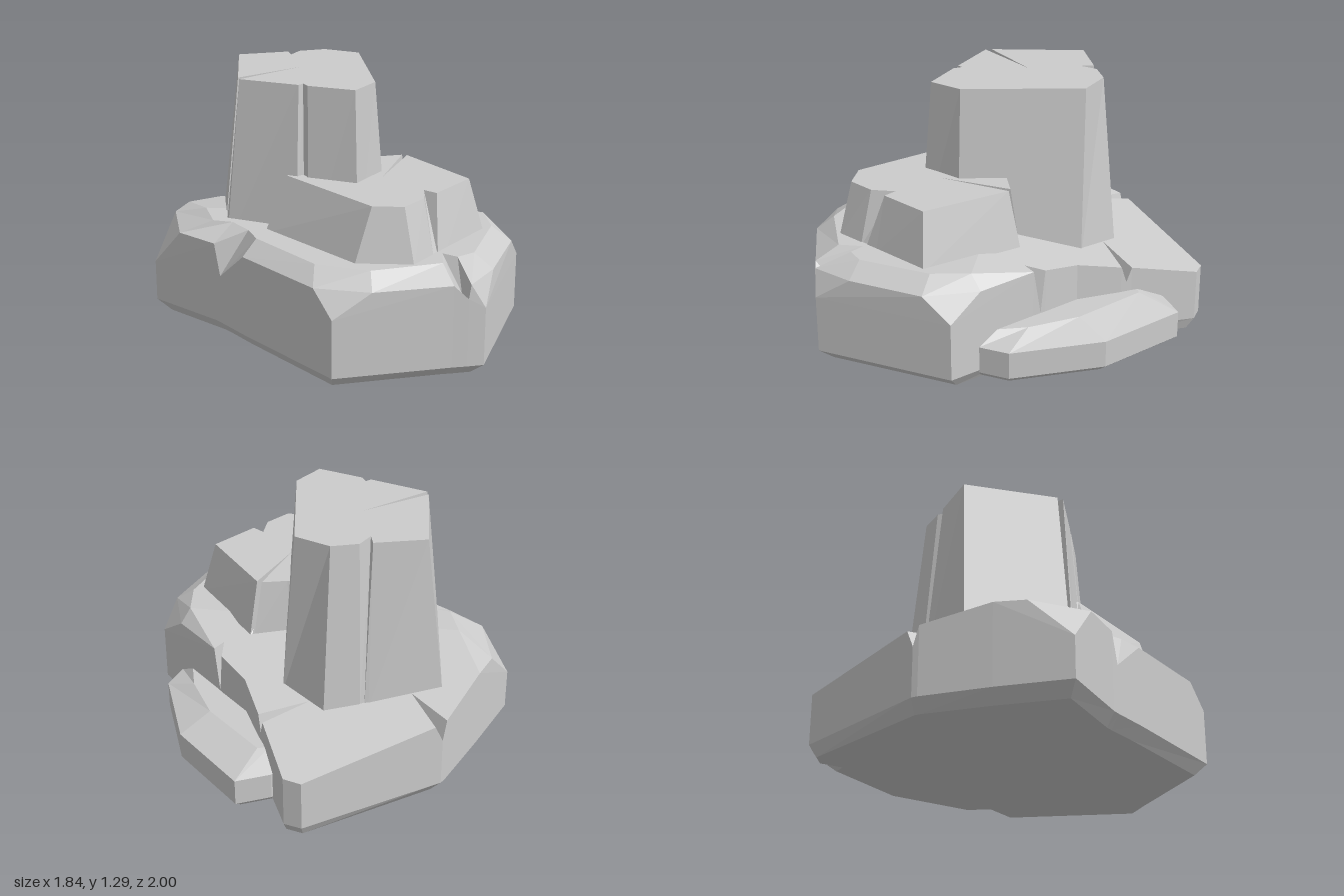
import * as THREE from 'three';

const stone = new THREE.MeshStandardMaterial({ color: 0xcccccc, flatShading: true });

// Skins rings of [x, y, z] points (bottom to top, clockwise from above) and caps both ends.
// topSplits lists index runs of the top ring that are capped as separate planes.
function rock(name, rings, topSplits) {
  const pos = [];
  const tri = (a, b, c) => {
    const va = new THREE.Vector3(...a), vb = new THREE.Vector3(...b), vc = new THREE.Vector3(...c);
    if (vb.sub(va).cross(vc.sub(va)).length() > 1e-7) pos.push(...a, ...b, ...c);
  };
  const n = rings[0].length;
  for (let r = 0; r < rings.length - 1; r++) {
    for (let i = 0; i < n; i++) {
      const j = (i + 1) % n, lo = rings[r], hi = rings[r + 1];
      tri(lo[j], lo[i], hi[i]);
      tri(lo[j], hi[i], hi[j]);
    }
  }
  const cap = (pts, up) => {
    const flat = pts.map(p => new THREE.Vector2(p[0], -p[2]));
    for (const [a, b, c] of THREE.ShapeUtils.triangulateShape(flat, [])) {
      const ccw = THREE.ShapeUtils.area([flat[a], flat[b], flat[c]]) > 0;
      if (ccw === up) tri(pts[a], pts[b], pts[c]);
      else tri(pts[a], pts[c], pts[b]);
    }
  };
  const top = rings[rings.length - 1];
  cap(rings[0], false);
  if (topSplits) topSplits.forEach(run => cap(run.map(i => top[i]), true));
  else cap(top, true);

  const geo = new THREE.BufferGeometry();
  geo.setAttribute('position', new THREE.Float32BufferAttribute(pos, 3));
  geo.computeVertexNormals();
  const mesh = new THREE.Mesh(geo, stone);
  mesh.name = name;
  return mesh;
}

// Tapered block from columns of [bottom x, bottom z, top x, top z]
const block = (name, y0, y1, cols) => rock(name, [
  cols.map(c => [c[0], y0, c[1]]),
  cols.map(c => [c[2], y1, c[3]]),
]);

// Base top is level in front and slopes down to the back
const slope = z => 0.58 - 0.245 * Math.max(0, 0.06 - z);

function baseSlab() {
  // plain edge, crack (low at the wall, running inward on top), chamfered column
  const edge = (x, z) => [[x, slope(z), z], [x, slope(z), z], [x, z]];
  const crack = (x, y, z, tx, tz) => [[x, y, z], [x, y, z], [tx, tz]];
  const cham = (w, mx, mz, tx, tz) => [w || [mx, 0.51, mz], [mx, 0.51, mz], [tx, tz]];
  const right = [0.92, 0.39, 0.13], frontRight = [0.73, 0.39, 0.82];
  const front = [0.03, 0.39, 1], left = [-0.92, 0.31, 0.13];
  const cols = [
    edge(-0.03, -1),
    edge(0.06, -0.98),
    edge(0.22, -0.66),
    crack(0.235, 0.33, -0.635, 0.02, -0.5),
    edge(0.25, -0.61),
    edge(0.36, -0.4),
    edge(0.51, -0.26),
    crack(0.53, 0.28, -0.24, 0.52, -0.16),
    edge(0.56, -0.21),
    cham(right, 0.79, 0.01, 0.75, 0.06), // 9: right end of the fold
    cham(right, 0.88, 0.27, 0.78, 0.25),
    cham(frontRight, 0.77, 0.64, 0.68, 0.61),
    cham(frontRight, 0.66, 0.835, 0.6, 0.67),
    [[0.65, 0.44, 0.84], [0.62, 0.44, 0.77], [0.53, 0.63]],
    cham(null, 0.58, 0.855, 0.53, 0.75),
    cham(front, 0.21, 0.95, 0.2, 0.86),
    cham(front, -0.06, 0.91, -0.06, 0.79),
    cham(null, -0.42, 0.55, -0.36, 0.48),
    crack(-0.55, 0.35, 0.41, -0.41, 0.37),
    cham(null, -0.58, 0.38, -0.5, 0.26),
    cham(left, -0.77, 0.24, -0.6, 0.24),
    cham(left, -0.84, -0.07, -0.66, 0.06), // 21: left end of the fold
    edge(-0.79, -0.22),
    edge(-0.66, -0.54),
    crack(-0.645, 0.33, -0.565, -0.47, -0.39),
    edge(-0.61, -0.59),
  ];
  const run = (a, b) => Array.from({ length: b - a + 1 }, (_, k) => (a + k) % cols.length);
  const walls = cols.map(c => c[0]);
  return rock('baseSlab', [
    walls.map(([x, , z]) => [x * 0.92, 0.035 + 0.036 * Math.min(0, z), z * (z > 0 ? 0.93 : 0.96)]),
    walls.map(([x, , z]) => [x, 0.1 + 0.04 * Math.min(0, z), z]),
    walls,
    cols.map(c => c[1]),
    cols.map(c => [c[2][0], slope(c[2][1]), c[2][1]]),
  ], [run(9, 21), run(21, cols.length + 9)]);
}

function sideLedge() {
  // outer wall x, z and inset top x, z; the last two columns sit inside the base
  const cols = [
    [0.1, -0.74, 0.12, -0.66], [0.15, -0.82, 0.18, -0.68], [0.31, -0.9, 0.24, -0.7],
    [0.66, -0.57, 0.54, -0.43], [0.84, -0.13, 0.68, -0.2], [0.8, 0.02, 0.73, -0.03],
    [0.6, 0.1, 0.58, 0.05], [0.25, -0.3, 0.25, -0.3],
  ];
  return rock('sideLedge', [
    cols.map(c => [c[0] * 0.95, 0.05, c[1] * 0.95]),
    cols.map(c => [c[0], 0.085, c[1]]),
    cols.map(c => [c[0], 0.22, c[1]]),
    cols.map(c => [c[2], 0.28, c[3]]),
  ]);
}

export function createModel() {
  const model = new THREE.Group();
  model.name = 'rockFormation';
  model.add(baseSlab(), sideLedge());

  // Middle step with a long crack and a front notch
  model.add(block('middleStep', 0.56, 0.84, [
    [0.1, 0, 0.1, 0], [0.2, -0.04, 0.21, -0.03],
    [0.37, -0.11, 0.335, -0.065], [0.38, -0.115, 0.24, 0.3], [0.39, -0.12, 0.36, -0.06],
    [0.74, 0.29, 0.66, 0.3],
    [0.55, 0.56, 0.5, 0.52], [0.51, 0.62, 0.44, 0.48], [0.49, 0.65, 0.44, 0.6],
    [0.4, 0.78, 0.35, 0.72], [0.12, 0.78, 0.2, 0.72],
    [-0.33, 0.35, -0.22, 0.3], [-0.3, 0.25, -0.22, 0.2],
  ]));

  // Tall tower with grooves in front and back and a crack at its corner
  model.add(block('tower', 0.42, 1.29, [
    [-0.62, -0.33, -0.52, -0.33],
    [-0.27, -0.475, -0.27, -0.405], [-0.25, -0.48, -0.25, -0.34], [-0.23, -0.49, -0.21, -0.425],
    [-0.06, -0.55, -0.08, -0.47], [0.17, -0.4, 0.1, -0.4],
    [0.27, 0.21, 0.2, 0.2], [0.13, 0.43, 0.11, 0.36],
    [-0.12, 0.35, -0.12, 0.29], [-0.14, 0.31, -0.145, 0.25], [-0.18, 0.335, -0.165, 0.275],
    [-0.54, 0.21, -0.46, 0.18], [-0.55, 0.2, -0.18, -0.08], [-0.555, 0.19, -0.47, 0.15],
  ]));
  return model;
}
